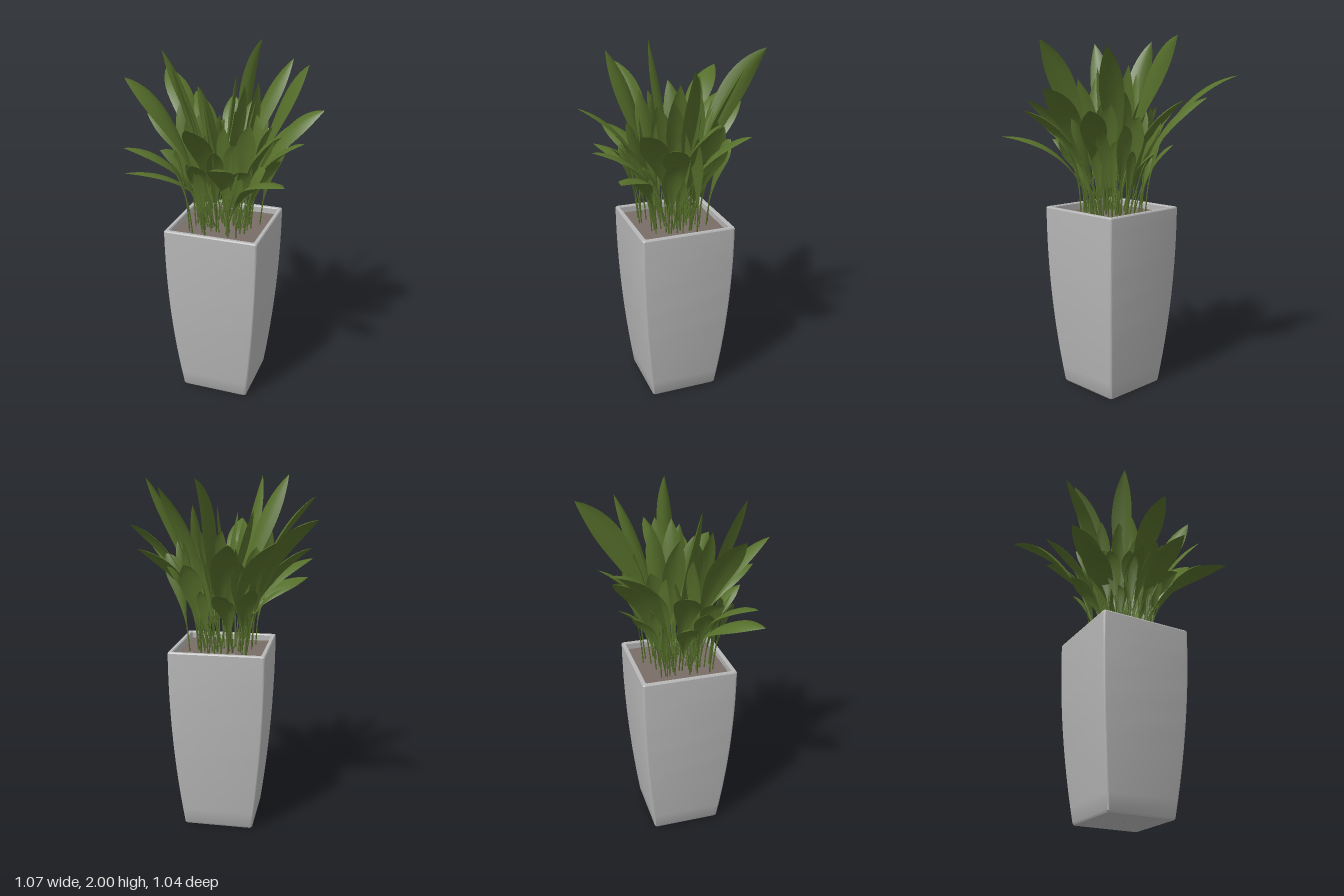
import * as THREE from 'three';
import { toCreasedNormals } from 'three/addons/utils/BufferGeometryUtils.js';

const SOIL_Y = 1.02;

// Small seeded generator
function makeRandom(seed) {
  return () => {
    seed = (seed * 16807) % 2147483647;
    return seed / 2147483647;
  };
}

// Grid of points (rows x cols) to a geometry
function gridGeometry(rows) {
  const cols = rows[0].length;
  const index = [];
  for (let j = 0; j < rows.length - 1; j++) {
    for (let i = 0; i < cols - 1; i++) {
      const a = j * cols + i, b = a + cols;
      index.push(a, b, a + 1, a + 1, b, b + 1);
    }
  }
  const geo = new THREE.BufferGeometry().setFromPoints(rows.flat());
  geo.setIndex(index);
  geo.computeVertexNormals();
  return geo;
}

// Square ring with rounded corners
function squareRing(half, y) {
  const r = Math.min(0.012, half * 0.5);
  const ring = [];
  for (let c = 0; c < 4; c++) {
    const mid = (c + 0.5) * Math.PI / 2;
    const cx = Math.sign(Math.cos(mid)) * (half - r);
    const cz = Math.sign(Math.sin(mid)) * (half - r);
    for (let k = 0; k <= 4; k++) {
      const a = (c + k / 4) * Math.PI / 2;
      ring.push(new THREE.Vector3(cx + r * Math.cos(a), y, cz + r * Math.sin(a)));
    }
  }
  ring.push(ring[0].clone());
  return ring;
}

// Bulging planter: underside, wall, rim, inner wall
function potGeometry() {
  const rows = [[0.001, 0], [0.194, 0], [0.199, 0.008]];
  for (let k = 1; k <= 12; k++) {
    const t = k / 12;
    rows.push([0.199 + 0.07 * (1 - Math.pow(1 - t, 2)), 0.008 + 1.044 * t]);
  }
  rows.push([0.265, 1.059], [0.248, 1.059], [0.244, 1.053], [0.244, 1.0]);
  return toCreasedNormals(gridGeometry(rows.map(([h, y]) => squareRing(h, y))), 0.5);
}

// Lance-shaped blade on a thin stalk; wide, low leaves arch over the most
function addLeaf(parent, material, base, tip, width, twist) {
  const arch = 0.7 + 0.6 * Math.hypot(tip.x, tip.z) - 0.5 * (tip.y - 1.4);
  const control = base.clone().lerp(tip, 0.3).setY(base.y + (tip.y - base.y) * arch);
  const curve = new THREE.QuadraticBezierCurve3(base, control, tip);
  const start = 0.2;
  const leaf = new THREE.Group();
  leaf.name = 'leaf';

  const heading = tip.clone().sub(base).setY(0).normalize();
  const flatSide = new THREE.Vector3(heading.z, 0, -heading.x);
  const rows = [];
  for (let k = 0; k <= 16; k++) {
    const s = k / 16;
    const t = start + (1 - start) * s;
    const p = curve.getPoint(t);
    const tangent = curve.getTangent(t);
    const side = flatSide.clone().applyAxisAngle(tangent, twist * (0.6 + 0.4 * s));
    const normal = new THREE.Vector3().crossVectors(tangent, side).normalize();
    const w = width * Math.pow(Math.max(0, Math.sin(Math.PI * Math.pow(s, 1.45))), 0.9) + 0.004 * (1 - s);
    const row = [];
    for (let i = -2; i <= 2; i++) {
      const u = i / 2;
      row.push(p.clone().addScaledVector(side, u * w).addScaledVector(normal, -0.28 * w * u * u));
    }
    rows.push(row);
  }
  const blade = new THREE.Mesh(gridGeometry(rows), material);
  blade.name = 'blade';

  const points = [];
  for (let k = 0; k <= 6; k++) points.push(curve.getPoint((start + 0.1) * k / 6));
  const path = new THREE.CatmullRomCurve3(points);
  const stalk = new THREE.Mesh(new THREE.TubeGeometry(path, 8, 0.004, 5), material);
  stalk.name = 'stalk';
  leaf.add(blade, stalk);
  parent.add(leaf);
}

export function createModel() {
  const model = new THREE.Group();
  const potGrey = new THREE.MeshStandardMaterial({ name: 'potGrey', color: 0xb7b7b7 });
  const soilBrown = new THREE.MeshStandardMaterial({ name: 'soilBrown', color: 0x796e66 });
  const leafGreen = new THREE.MeshStandardMaterial({ name: 'leafGreen', color: 0x566f2b, side: THREE.DoubleSide });

  const pot = new THREE.Mesh(potGeometry(), potGrey);
  pot.name = 'pot';
  const soil = new THREE.Mesh(new THREE.BoxGeometry(0.49, 0.02, 0.49), soilBrown);
  soil.name = 'soil';
  soil.position.y = SOIL_Y - 0.01;
  model.add(pot, soil);

  const foliage = new THREE.Group();
  foliage.name = 'foliage';
  model.add(foliage);
  const random = makeRandom(4711);
  const spread = (range) => (random() - 0.5) * 2 * range;

  // Stalks rise from the soil, part of the way out towards the tip
  const plantLeaf = (x, y, z, reach, jitter, width, twist) => {
    const base = new THREE.Vector3(x * reach + spread(jitter), SOIL_Y - 0.01, z * reach + spread(jitter));
    addLeaf(foliage, leafGreen, base, new THREE.Vector3(x, y, z), width, twist);
  };

  // Large leaves: tip x, y, z and twist
  const large = [
    [-0.54, 1.80, -0.47, 0],
    [0.05, 1.99, -0.52, 1.6],
    [-0.10, 1.67, -0.45, 0],
    [-0.33, 1.68, -0.42, 0.2],
    [0.30, 1.94, -0.27, 0.3],
    [0.42, 1.62, -0.27, 0.2],
    [0.53, 1.73, -0.05, 0.5],
    [0.46, 1.98, 0.06, 0.9],
    [0.48, 1.61, 0.18, 0.2],
    [0.45, 1.46, 0.43, 0],
    [0.36, 1.66, 0.30, 0.6],
    [0.12, 1.53, 0.49, 0],
    [-0.02, 1.73, 0.52, 0],
    [-0.17, 1.99, 0.32, -0.6],
    [-0.35, 2.00, 0.02, 0.9],
    [-0.49, 1.88, 0.20, -0.5],
    [-0.48, 1.52, 0.28, 0],
    [-0.45, 1.40, 0.34, 0.2],
    [-0.49, 1.62, -0.06, -0.3],
    [0.16, 1.84, -0.08, -0.6],
  ];
  for (const [x, y, z, twist] of large) {
    plantLeaf(x, y, z, 0.15, 0.06, 0.05 + 0.035 * Math.hypot(x, z), twist);
  }

  // Medium leaves filling the clump, spread by the golden angle
  const count = 44;
  for (let k = 0; k < count; k++) {
    const a = k * 2.39996;
    const r = 0.08 + 0.28 * Math.sqrt((k + 0.5) / count);
    const y = 1.78 - 0.38 * (k / count) + spread(0.1);
    plantLeaf(r * Math.cos(a), y, r * Math.sin(a), 0.4, 0.08, 0.042 + 0.018 * random(), spread(1.2));
  }

  // Short young leaves standing near the rim
  for (let k = 0; k < 14; k++) {
    const a = k * 0.449 + spread(0.15);
    const r = 0.25 + spread(0.04);
    plantLeaf(r * Math.cos(a), 1.36 + spread(0.1), r * Math.sin(a), 0.7, 0.02, 0.03, spread(0.8));
  }
  return model;
}
